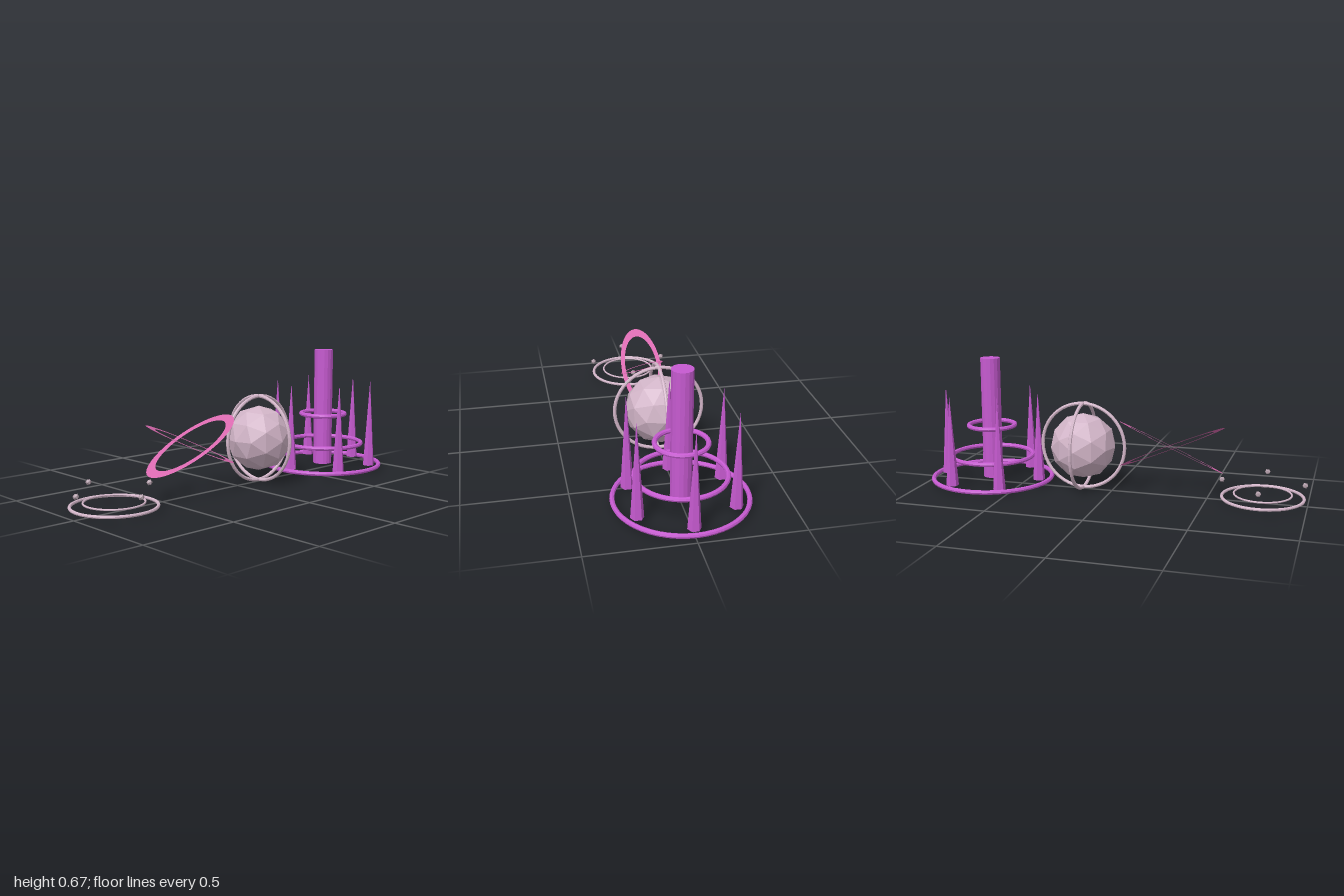
import * as THREE from 'three';

const mat = (name, color) => {
  const m = new THREE.MeshStandardMaterial({ color });
  m.name = name;
  return m;
};

// Facet a geometry so each face has its own normal
function faceted(geo) {
  const g = geo.index ? geo.toNonIndexed() : geo;
  g.computeVertexNormals();
  return g;
}

export function createModel() {
  const purple = mat('purple', 0xc65ad0);
  const pale = mat('pale mauve', 0xd2b5c8);
  const grey = mat('grey mauve', 0xb5a0ac);
  const pink = mat('pink', 0xd868ae);
  pink.side = THREE.DoubleSide;

  const model = new THREE.Group();
  const part = (name, x, y = 0) => {
    const g = new THREE.Group();
    g.name = name;
    g.position.set(x, y, 0);
    model.add(g);
    return g;
  };
  const add = (parent, name, geo, material, x = 0, y = 0, z = 0) => {
    const m = new THREE.Mesh(geo, material);
    m.name = name;
    m.position.set(x, y, z);
    parent.add(m);
    return m;
  };
  const torus = (r, tube) => faceted(new THREE.TorusGeometry(r, tube, 8, 48));
  const flatRing = (r, tube) => torus(r, tube).rotateX(Math.PI / 2);

  // Tower: column, three stacked rings and six spikes
  const tower = part('tower', 0.667);
  add(tower, 'column', faceted(new THREE.CylinderGeometry(0.0515, 0.0515, 0.643, 16)), purple, 0, 0.3535);
  [[0.317, 0.032], [0.215, 0.15], [0.122, 0.314]].forEach(([r, y], i) =>
    add(tower, 'towerRing' + (i + 1), flatRing(r, 0.012), purple, 0, y));
  const spike = faceted(new THREE.ConeGeometry(0.032, 0.475, 6));
  for (let i = 0; i < 6; i++) {
    const a = i * Math.PI / 3;
    add(tower, 'spike', spike, purple, 0.263 * Math.cos(a), 0.27, 0.263 * Math.sin(a));
  }

  // Faceted globe inside two upright rings at right angles
  const globe = part('globe', 0.155, 0.235);
  add(globe, 'globeBody', faceted(new THREE.IcosahedronGeometry(0.172, 1)), pale);
  add(globe, 'globeRingFront', torus(0.223, 0.009), pale);
  add(globe, 'globeRingSide', torus(0.223, 0.009).rotateY(Math.PI / 2), pale);

  // Two crossing flat elliptical bands, mirrored in slope
  const bands = part('crossedBands', -0.312, 0.257);
  for (const side of [1, -1]) {
    const u = new THREE.Vector3(0.27, 0.118 * side, 0);
    const v = new THREE.Vector3(0, 0.03, -0.105);
    const n = u.clone().cross(v).normalize();
    const geo = new THREE.RingGeometry(0.8, 1, 64);
    geo.applyMatrix4(new THREE.Matrix4().makeBasis(u, v, n));
    geo.computeVertexNormals();
    add(bands, side > 0 ? 'risingBand' : 'fallingBand', geo, pink);
  }

  // Low double ring with four floating beads
  const beacon = part('ringPad', -0.78);
  add(beacon, 'outerPadRing', flatRing(0.203, 0.008), pale, 0, 0.033);
  add(beacon, 'innerPadRing', flatRing(0.143, 0.005), pale, 0, 0.05);
  const bead = faceted(new THREE.IcosahedronGeometry(0.015, 0));
  for (let i = 0; i < 4; i++) {
    const a = i * Math.PI / 2;
    add(beacon, 'bead', bead, grey, 0.205 * Math.cos(a), 0.11, 0.205 * Math.sin(a));
  }

  return model;
}
